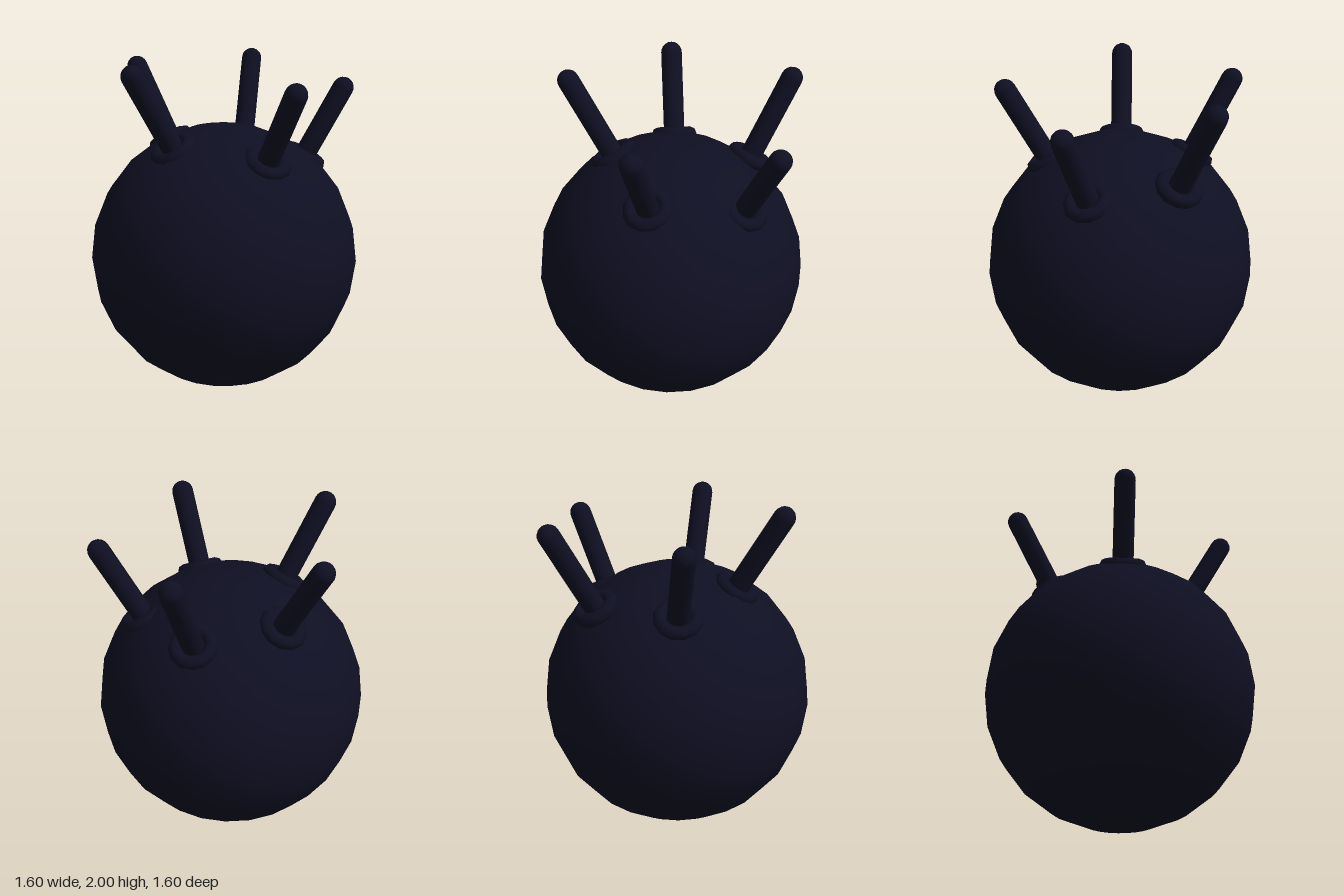
import * as THREE from 'three';

export function createModel() {
  const model = new THREE.Group();
  model.name = 'spikedBall';
  const navy = new THREE.MeshStandardMaterial({ color: 0x0f0f23 });
  navy.name = 'darkNavy';

  // Main round body
  const radius = 0.802;
  const body = new THREE.Mesh(new THREE.SphereGeometry(radius, 24, 12), navy);
  body.name = 'body';
  body.position.y = radius;
  model.add(body);

  // Foot on the body and centre of the rounded tip for each spike
  const spikes = [
    ['front', [0, 1.46, 0.419], [0, 1.868, 0.652]],
    ['right', [-0.353, 1.502, 0], [-0.604, 1.937, 0]],
    ['back', [-0.11, 1.46, -0.42], [-0.2, 1.888, -0.648]],
    ['backLeft', [0.39, 1.435, -0.33], [0.574, 1.897, -0.5]],
    ['frontLeft', [0.48, 1.385, 0.165], [0.677, 1.796, 0.274]],
  ];
  const rodRadius = 0.063;
  const buried = 0.1;
  const collarGeometry = new THREE.TorusGeometry(0.1, 0.04, 8, 12).rotateX(Math.PI / 2);

  for (const [side, foot, tip] of spikes) {
    const base = new THREE.Vector3(...foot);
    const axis = new THREE.Vector3(...tip).sub(base);
    const length = axis.length();

    const group = new THREE.Group();
    group.name = side + 'Spike';
    group.position.copy(base);
    group.quaternion.setFromUnitVectors(new THREE.Vector3(0, 1, 0), axis.normalize());

    // Round-ended rod, sunk a little into the body
    const rod = new THREE.Mesh(new THREE.CapsuleGeometry(rodRadius, length + buried, 5, 16), navy);
    rod.name = side + 'Rod';
    rod.position.y = (length - buried) / 2;

    // Ring around the foot
    const collar = new THREE.Mesh(collarGeometry, navy);
    collar.name = side + 'Collar';

    group.add(rod, collar);
    model.add(group);
  }
  return model;
}
